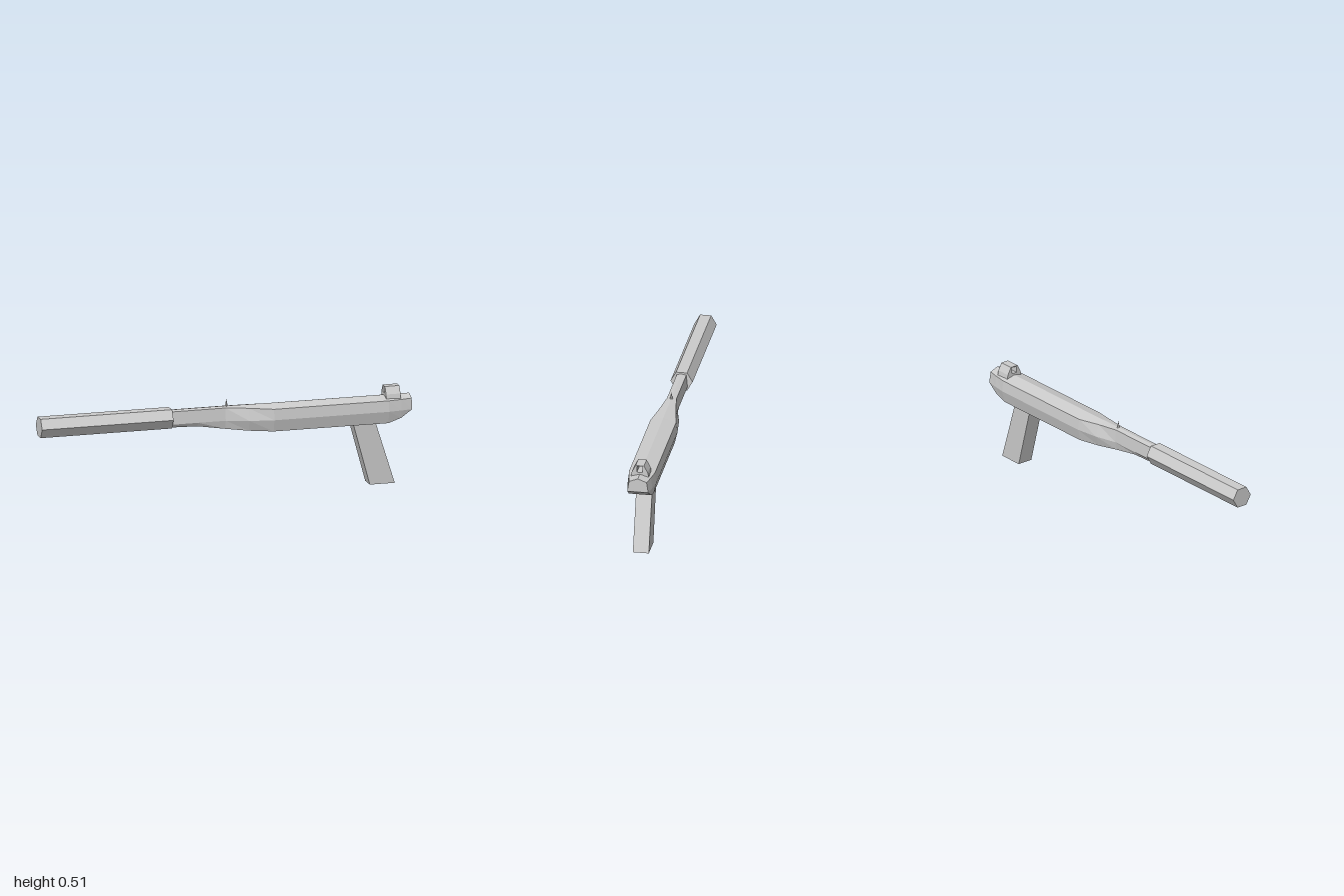
import * as THREE from 'three';

const material = new THREE.MeshStandardMaterial({ color: 0xcccccc, flatShading: true });

function addPart(group, name, geometry) {
  const mesh = new THREE.Mesh(geometry, material);
  mesh.name = name;
  group.add(mesh);
  return mesh;
}

// Seven-sided cross-section at x: ridge, then shoulder, waist and bottom as [y, halfWidth]
function section(x, ridge, shoulder, waist, bottom) {
  const side = [shoulder, waist, bottom];
  return [
    [x, ridge, 0],
    ...side.map(([y, w]) => [x, y, w]),
    ...side.slice().reverse().map(([y, w]) => [x, y, -w]),
  ];
}

// Skin a row of sections running toward +x and close both ends
function loft(sections) {
  const n = sections[0].length;
  const last = sections[sections.length - 1];
  const pos = [];
  const tri = (a, b, c) => pos.push(...a, ...b, ...c);
  for (let i = 0; i < sections.length - 1; i++) {
    for (let j = 0; j < n; j++) {
      const k = (j + 1) % n;
      const [s, t] = [sections[i], sections[i + 1]];
      tri(s[j], s[k], t[k]);
      tri(s[j], t[k], t[j]);
    }
  }
  for (let j = 1; j < n - 1; j++) {
    tri(sections[0][0], sections[0][j + 1], sections[0][j]);
    tri(last[0], last[j], last[j + 1]);
  }
  const geometry = new THREE.BufferGeometry();
  geometry.setAttribute('position', new THREE.Float32BufferAttribute(pos, 3));
  geometry.computeVertexNormals();
  return geometry;
}

const points = (list) => list.map(([x, y]) => new THREE.Vector2(x, y));

// Straight extrusion centred on its own depth
function extrude(shape, depth) {
  return new THREE.ExtrudeGeometry(shape, { depth, bevelEnabled: false }).translate(0, 0, -depth / 2);
}

export function createModel() {
  const model = new THREE.Group();
  model.name = 'pistol';

  // Barrel flaring into the receiver, with a chamfered rear end
  addPart(model, 'receiver', loft([
    section(-0.30, 0.467, [0.462, 0.025], [0.395, 0.031], [0.378, 0.02]),
    section(-0.15, 0.467, [0.462, 0.025], [0.395, 0.031], [0.374, 0.02]),
    section(0.00, 0.467, [0.462, 0.025], [0.395, 0.031], [0.350, 0.022]),
    section(0.12, 0.466, [0.456, 0.043], [0.392, 0.060], [0.336, 0.042]),
    section(0.25, 0.465, [0.447, 0.068], [0.390, 0.075], [0.327, 0.060]),
    section(0.87, 0.465, [0.447, 0.068], [0.390, 0.075], [0.326, 0.060]),
    section(0.94, 0.465, [0.447, 0.058], [0.390, 0.066], [0.349, 0.058]),
    section(1.00, 0.465, [0.447, 0.046], [0.391, 0.055], [0.390, 0.055]),
  ]));

  // Six-sided sleeve around the front of the barrel
  const sleeve = new THREE.CylinderGeometry(0.058, 0.058, 0.71, 6).rotateZ(Math.PI / 2);
  addPart(model, 'barrelSleeve', sleeve).position.set(-0.645, 0.425, 0);

  // Raked grip
  const gripShape = new THREE.Shape(points([[0.775, 0], [0.91, 0], [0.803, 0.34], [0.683, 0.34]]));
  addPart(model, 'grip', extrude(gripShape, 0.084));

  // Rear sight: tapered housing with an opening along the barrel
  const housing = new THREE.Shape(points([
    [-0.047, 0.45], [0.047, 0.45], [0.042, 0.475], [0.022, 0.513], [-0.022, 0.513], [-0.042, 0.475],
  ]));
  housing.holes.push(new THREE.Path(points([
    [-0.015, 0.475], [-0.015, 0.509], [0.015, 0.509], [0.015, 0.475],
  ])));
  addPart(model, 'rearSight', extrude(housing, 0.078).rotateY(Math.PI / 2)).position.x = 0.902;

  // Front sight spike
  addPart(model, 'frontSight', new THREE.ConeGeometry(0.009, 0.045, 4)).position.set(0.012, 0.482, 0);

  return model;
}
